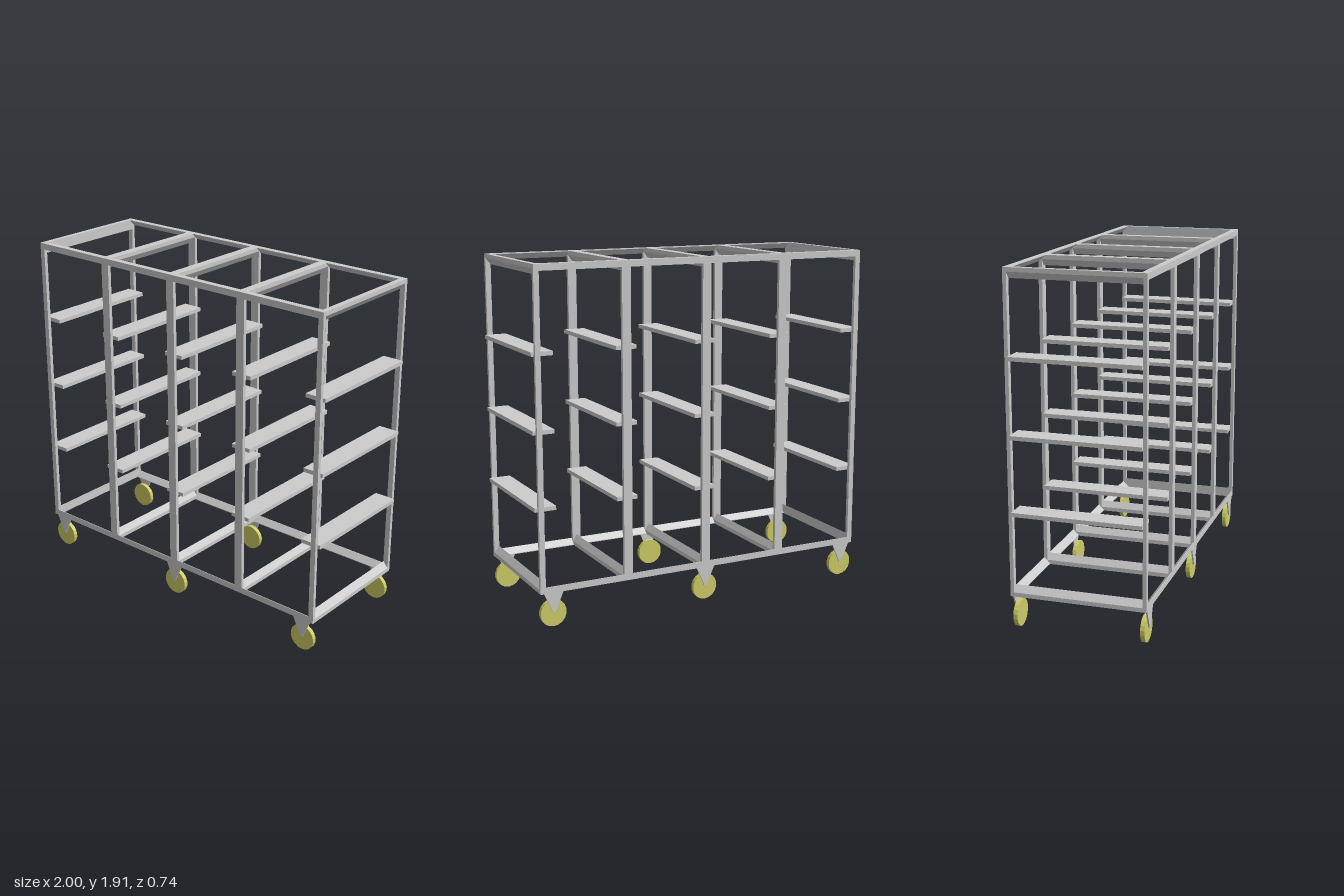
import * as THREE from 'three';

const grey = new THREE.MeshStandardMaterial({ color: 0xcccccc, flatShading: true, side: THREE.DoubleSide });
const olive = new THREE.MeshStandardMaterial({ color: 0xcccc66, flatShading: true });

const BOTTOM = 0.19, TOP = 1.915, HALF_X = 0.985, HALF_Z = 0.37;

export function createModel() {
  const model = new THREE.Group();

  const add = (name, geometry, x, y, z, material = grey) => {
    const mesh = new THREE.Mesh(geometry, material);
    mesh.name = name;
    mesh.position.set(x, y, z);
    model.add(mesh);
    return mesh;
  };
  const box = (name, w, h, d, x, y, z) => add(name, new THREE.BoxGeometry(w, h, d), x, y, z);
  // Prism with a polygon section, centred along its length
  const prism = (points, length) => {
    const shape = new THREE.Shape(points.map(([u, v]) => new THREE.Vector2(u, v)));
    return new THREE.ExtrudeGeometry(shape, { depth: length, bevelEnabled: false }).translate(0, 0, -length / 2);
  };

  // Long rails: angle sections sloping towards the inside
  for (const sz of [-1, 1]) {
    for (const [name, y, dir] of [['topLongRail', TOP, -1], ['bottomLongRail', BOTTOM, 1]]) {
      const section = [[0, 0], [-0.035 * sz, 0], [-0.035 * sz, 0.004 * dir], [-0.004 * sz, 0.035 * dir], [0, 0.035 * dir]];
      add(name, prism(section, HALF_X * 2), 0, y, HALF_Z * sz).rotation.y = -Math.PI / 2;
    }
  }

  // End beams, and the wedge-shaped cross beams between the bays
  for (const [name, y, dir] of [['top', TOP, -1], ['bottom', BOTTOM, 1]]) {
    for (const sx of [-1, 1]) {
      const section = [[0, 0], [0.03 * sx, 0], [0.03 * sx, 0.023 * dir], [0, 0.058 * dir]];
      add(name + 'EndBeam', prism(section, 0.7), 0.955 * sx, y, 0);
    }
    for (const x of [-0.475, 0, 0.475]) {
      const section = [[-0.025, 0], [0.025, 0], [0.025, 0.023 * dir], [0, 0.058 * dir], [-0.025, 0.023 * dir]];
      add(name + 'CrossBeam', prism(section, 0.7), x, y, 0);
    }
  }

  // Upright posts on both long sides
  for (const z of [-0.36, 0.36]) {
    for (const [x, width] of [[-0.97, 0.03], [-0.475, 0.05], [0, 0.05], [0.475, 0.05], [0.97, 0.03]]) {
      box('post', width, TOP - BOTTOM, 0.02, x, (TOP + BOTTOM) / 2, z);
    }
  }

  // Ledges at three heights
  for (const y of [0.645, 1.053, 1.46]) {
    for (const x of [-0.94, -0.47, 0, 0.47, 0.94]) box('ledge', 0.12, 0.022, 0.7, x, y, 0);
  }

  // Casters: tapered plate outside each wheel
  const plate = prism([[-0.055, 0.19], [0.055, 0.19], [0.006, 0.08], [-0.006, 0.08]], 0.008);
  const wheel = new THREE.CylinderGeometry(0.074, 0.074, 0.024, 18).rotateX(Math.PI / 2);
  for (const sz of [-1, 1]) {
    for (const x of [-0.91, 0, 0.91]) {
      add('casterBracket', plate, x, 0, 0.364 * sz);
      add('casterWheel', wheel, x, 0.074, 0.347 * sz, olive);
    }
  }

  return model;
}
